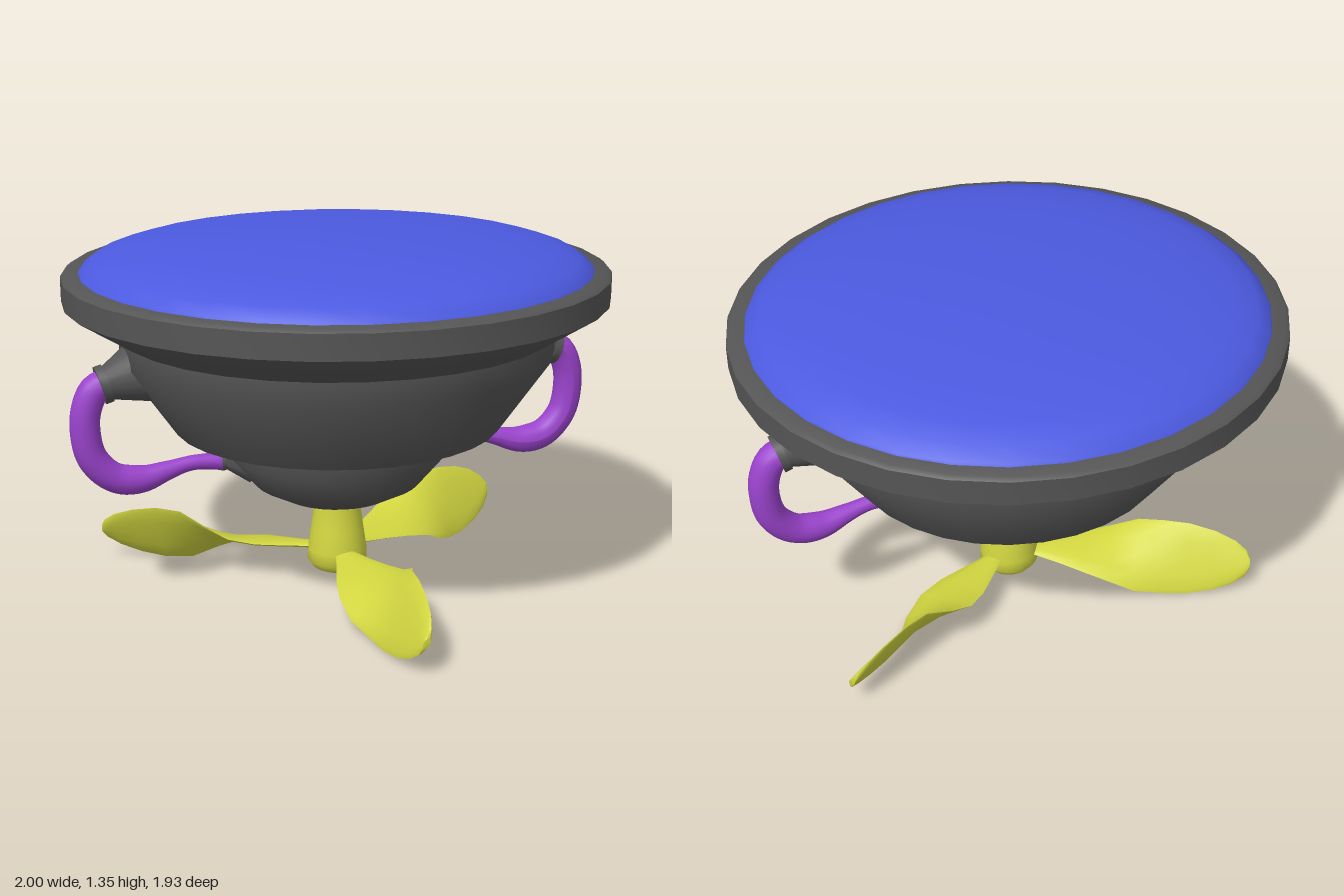
import * as THREE from 'three';
import { toCreasedNormals } from 'three/addons/utils/BufferGeometryUtils.js';

const DEPTH = 0.965; // the body is slightly narrower front to back

function material(name, color) {
  const m = new THREE.MeshStandardMaterial({ color });
  m.name = name;
  return m;
}

function part(name, geometry, mat) {
  const mesh = new THREE.Mesh(geometry, mat);
  mesh.name = name;
  return mesh;
}

// Turned shape from [radius, height] points, listed bottom to top
function turned(points, segments, crease = 0.72) {
  const g = new THREE.LatheGeometry(points.map(([r, y]) => new THREE.Vector2(r, y)), segments);
  return toCreasedNormals(g, crease);
}

// Cone or cylinder running between two points of the z = 0 plane
function stub(name, [x1, y1, r1], [x2, y2, r2], mat) {
  const a = new THREE.Vector3(x1, y1, 0), b = new THREE.Vector3(x2, y2, 0);
  const g = toCreasedNormals(new THREE.CylinderGeometry(r2, r1, a.distanceTo(b), 20), 0.7);
  const mesh = part(name, g, mat);
  mesh.position.copy(a).lerp(b, 0.5);
  mesh.quaternion.setFromUnitVectors(new THREE.Vector3(0, 1, 0), b.sub(a).normalize());
  return mesh;
}

// Tube whose radius follows a rule along its length
function taperedTube(points, radiusAt) {
  const curve = new THREE.CatmullRomCurve3(points.map(([x, y]) => new THREE.Vector3(x, y, 0)));
  const n = 48, sides = 16;
  const g = new THREE.TubeGeometry(curve, n, 1, sides);
  const pos = g.attributes.position, v = new THREE.Vector3();
  for (let i = 0; i <= n; i++) {
    const c = curve.getPointAt(i / n);
    for (let j = 0; j <= sides; j++) {
      const k = i * (sides + 1) + j;
      v.fromBufferAttribute(pos, k).sub(c).multiplyScalar(radiusAt(i / n)).add(c);
      pos.setXYZ(k, v.x, v.y, v.z);
    }
  }
  g.computeVertexNormals();
  return g;
}

// Twisted blade along +z from [distance, half width, angle in degrees] sections
function bladeGeometry() {
  const sections = [
    [0.05, 0.03, 0], [0.12, 0.045, 8], [0.2, 0.07, 9], [0.3, 0.105, 11],
    [0.4, 0.13, 18], [0.5, 0.145, 36], [0.6, 0.143, 58], [0.7, 0.14, 63],
    [0.8, 0.118, 64], [0.88, 0.085, 64], [0.925, 0.05, 64], [0.94, 0.02, 64],
  ];
  const sides = 12, verts = [], index = [];
  for (const [z, w, deg] of sections) {
    const t = THREE.MathUtils.degToRad(deg);
    for (let j = 0; j < sides; j++) {
      const a = (j / sides) * Math.PI * 2;
      const u = w * Math.cos(a), h = 0.012 * Math.sin(a);
      verts.push(u * Math.cos(t) - h * Math.sin(t), u * Math.sin(t) + h * Math.cos(t), z);
    }
  }
  for (let i = 0; i < sections.length - 1; i++) {
    for (let j = 0; j < sides; j++) {
      const a = i * sides + j, b = i * sides + (j + 1) % sides;
      index.push(a, b, a + sides, b, b + sides, a + sides);
    }
  }
  // Close the tip
  const last = (sections.length - 1) * sides;
  for (let j = 1; j < sides - 1; j++) index.push(last, last + j, last + j + 1);
  const g = new THREE.BufferGeometry();
  g.setAttribute('position', new THREE.Float32BufferAttribute(verts, 3));
  g.setIndex(index);
  return toCreasedNormals(g, 0.9);
}

export function createModel() {
  const grey = material('dark grey', 0x555555);
  const blue = material('blue', 0x4c5ae0);
  const purple = material('purple', 0x9a43cc);
  const yellow = material('yellow', 0xd2d640);
  const model = new THREE.Group();
  model.name = 'model';

  // Stepped body: cup, bowl and rim
  const body = new THREE.Group();
  body.name = 'body';
  body.scale.z = DEPTH;
  body.add(
    part('lowerCup', turned([[0, 0.35], [0.21, 0.35], [0.315, 0.405], [0.42, 0.53], [0.42, 0.64]], 32), grey),
    part('bowl', turned([[0.4, 0.635], [0.61, 0.635], [0.8, 0.91], [0.8, 1.01]], 32), grey),
    part('rim', turned([[0.78, 1.0], [0.81, 1.0], [1, 1.12], [1, 1.21], [0.985, 1.222], [0.9, 1.222]], 32), grey),
    part('domeTop', turned([[0.94, 1.215], [0.932, 1.23], [0.885, 1.265], [0.8, 1.292], [0.65, 1.318],
      [0.5, 1.335], [0.25, 1.35], [0, 1.355]], 32, 1.2), blue),
  );
  model.add(body);

  // Two curved side pipes with flared bosses and collars
  const path = [[0.86, 0.853], [0.905, 0.835], [0.938, 0.77], [0.947, 0.69], [0.925, 0.58], [0.85, 0.5],
    [0.75, 0.482], [0.65, 0.505], [0.56, 0.524], [0.44, 0.52]];
  const pipeGeometry = taperedTube(path, (t) => 0.055 - 0.027 * THREE.MathUtils.smoothstep(t, 0.55, 0.85)
    + 0.006 * THREE.MathUtils.smoothstep(t, 0.88, 1));
  for (const [name, angle] of [['leftPipe', 0], ['rightPipe', Math.PI]]) {
    const side = new THREE.Group();
    side.name = name;
    side.rotation.y = angle;
    side.add(
      part('pipe', pipeGeometry, purple),
      stub('upperBoss', [0.72, 0.895, 0.125], [0.865, 0.853, 0.06], grey),
      stub('upperCollar', [0.86, 0.855, 0.07], [0.888, 0.847, 0.07], grey),
      stub('lowerBoss', [0.36, 0.53, 0.1], [0.44, 0.522, 0.032], grey),
      stub('lowerCollar', [0.437, 0.521, 0.037], [0.453, 0.52, 0.037], grey),
    );
    model.add(side);
  }

  // Propeller: shaft, rounded hub and three twisted blades
  const propeller = new THREE.Group();
  propeller.name = 'propeller';
  propeller.add(part('shaftAndHub', turned([[0, 0.03], [0.05, 0.037], [0.09, 0.055], [0.113, 0.085],
    [0.112, 0.13], [0.1, 0.21], [0.09, 0.28], [0.086, 0.36]], 24, 1.0), yellow));
  const blade = bladeGeometry();
  for (let i = 0; i < 3; i++) {
    const b = part('blade', blade, yellow);
    b.position.y = 0.13;
    b.rotation.y = (i * Math.PI * 2) / 3;
    propeller.add(b);
  }
  model.add(propeller);
  return model;
}
